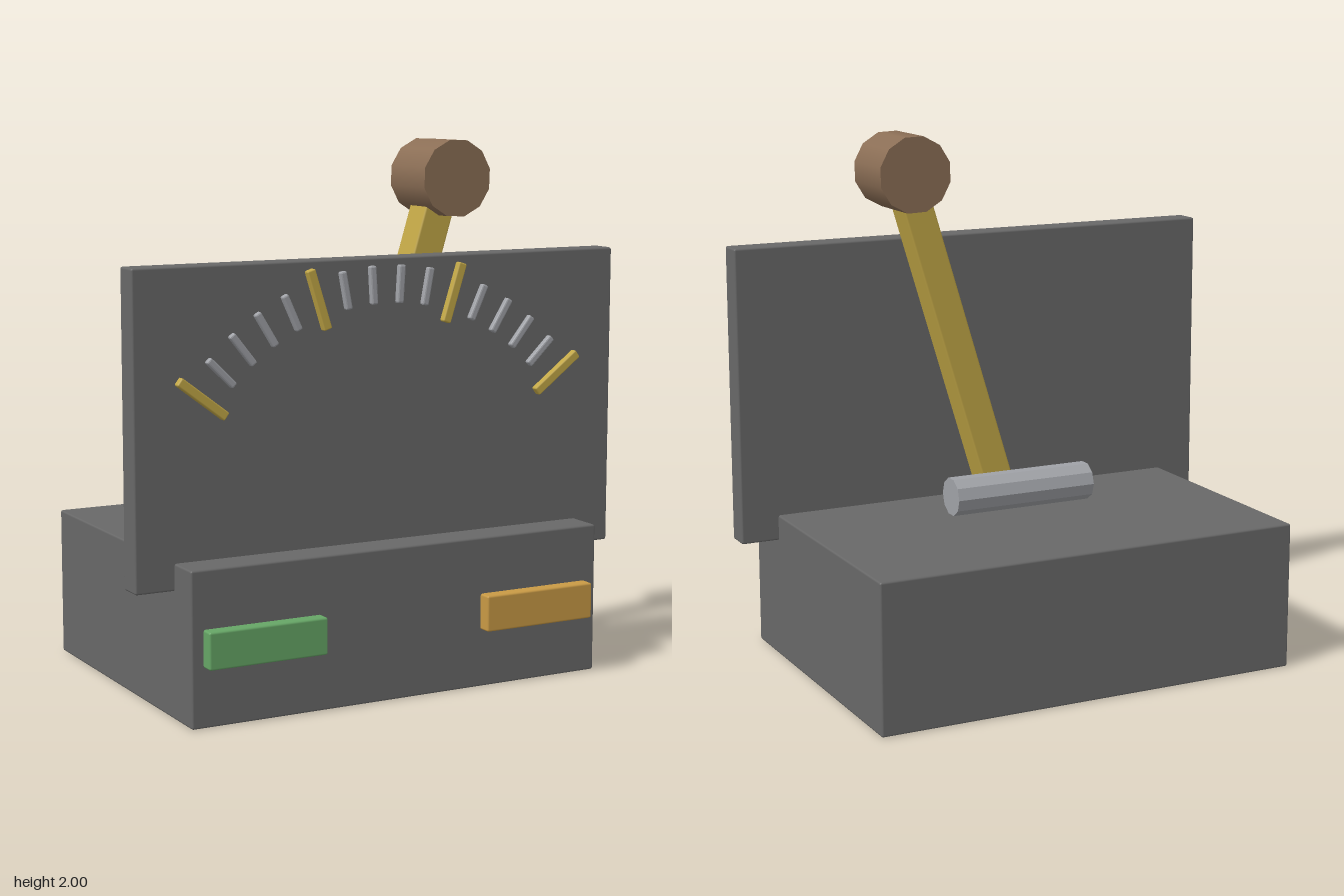
import * as THREE from 'three';
import { RoundedBoxGeometry } from 'three/addons/geometries/RoundedBoxGeometry.js';

const mat = (name, color, flatShading = false) => {
  const m = new THREE.MeshStandardMaterial({ color, flatShading });
  m.name = name;
  return m;
};

export function createModel() {
  const model = new THREE.Group();
  model.name = 'leverConsole';
  const grey = mat('dark grey', 0x686868);
  const yellow = mat('brass yellow', 0xc3a847);
  const brown = mat('knob brown', 0x8c6f56);
  const silver = mat('silver', 0xa0a2a7, true);
  const green = mat('green', 0x66a666);
  const orange = mat('orange', 0xc99a45);

  const add = (name, geometry, material, x, y, z, parent = model) => {
    const mesh = new THREE.Mesh(geometry, material);
    mesh.name = name;
    mesh.position.set(x, y, z);
    parent.add(mesh);
    return mesh;
  };
  const box = (w, h, d, bevel = 0.008) => new RoundedBoxGeometry(w, h, d, 1, bevel);

  // Base block and upright dial panel
  add('base', box(1.67, 0.56, 1.21), grey, 0, 0.285, -0.025);
  add('dialPanel', box(1.965, 1.125, 0.1), grey, 0, 1.03, 0.395);

  // Front buttons
  add('rightButton', box(0.46, 0.135, 0.06), green, -0.56, 0.288, 0.6);
  add('leftButton', box(0.46, 0.135, 0.06), orange, 0.56, 0.288, 0.6);

  // Dial marks along an arc, every fifth one long
  const marks = new THREE.Group();
  marks.name = 'dialMarks';
  model.add(marks);
  const radius = 0.914, sweep = THREE.MathUtils.degToRad(53);
  const longMark = box(0.034, 0.224, 0.03, 0.006);
  const shortMark = box(0.026, 0.138, 0.026, 0.006);
  for (let i = 0; i <= 15; i++) {
    const a = -sweep + (2 * sweep * i) / 15;
    const major = i % 5 === 0;
    const mark = add(major ? 'longMark' : 'shortMark', major ? longMark : shortMark,
      major ? yellow : silver, radius * Math.sin(a), 0.584 + radius * Math.cos(a), major ? 0.456 : 0.454, marks);
    mark.rotation.z = -a;
  }

  // Tilted lever with its round knob
  const lever = new THREE.Group();
  lever.name = 'lever';
  lever.position.set(0, 0.658, 0.208);
  lever.rotation.z = -THREE.MathUtils.degToRad(17);
  model.add(lever);
  add('leverArm', box(0.12, 1.2, 0.12), yellow, 0, 0.6, 0, lever);
  add('knob', new THREE.CylinderGeometry(0.144, 0.144, 0.245, 12), brown, 0, 1.257, 0, lever)
    .rotation.x = Math.PI / 2;

  // Pivot rod lying across the base
  add('pivotRod', new THREE.CylinderGeometry(0.073, 0.073, 0.57, 10), silver, 0, 0.66, -0.025)
    .rotation.z = Math.PI / 2;

  return model;
}
